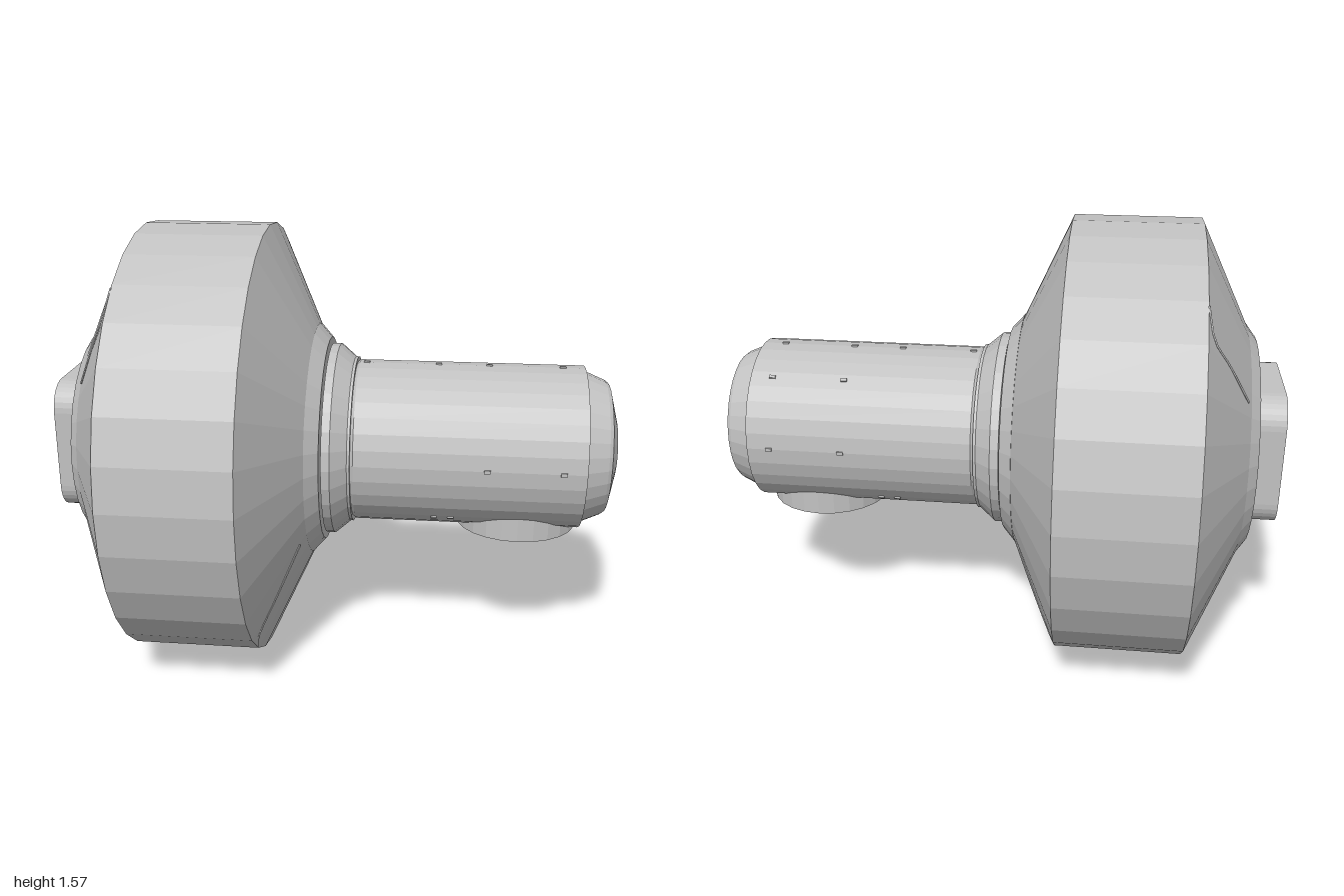
import * as THREE from 'three';

const AXIS_Y = 0.785;

export function createModel() {
  const model = new THREE.Group();
  model.name = 'stationModule';
  const body = new THREE.Group();
  body.name = 'body';
  body.position.y = AXIS_Y;
  model.add(body);

  const grey = new THREE.MeshStandardMaterial({ color: 0xc2c2c2, flatShading: true, side: THREE.DoubleSide });
  grey.name = 'hullGrey';

  const add = (name, geometry, parent = body) => {
    const mesh = new THREE.Mesh(geometry, grey);
    mesh.name = name;
    parent.add(mesh);
    return mesh;
  };

  // Surface of revolution about the x axis, from [x, radius] pairs
  const turned = (name, profile) => {
    const g = new THREE.LatheGeometry(profile.map(([x, r]) => new THREE.Vector2(r, x)), 32);
    g.rotateZ(-Math.PI / 2);
    return add(name, g);
  };

  // Rounded square outline in the cross-section plane
  const roundedSquare = (half, r, Type = THREE.Shape) => {
    const s = new Type(), k = half - r;
    s.absarc(k, k, r, 0, Math.PI / 2);
    s.absarc(-k, k, r, Math.PI / 2, Math.PI);
    s.absarc(-k, -k, r, Math.PI, Math.PI * 1.5);
    s.absarc(k, -k, r, Math.PI * 1.5, Math.PI * 2);
    s.closePath();
    return s;
  };

  // Square tube running along x
  const squareTube = (name, x0, x1, outer, inner, r) => {
    const s = roundedSquare(outer, r);
    s.holes.push(roundedSquare(inner, r - (outer - inner) * 0.5, THREE.Path));
    const g = new THREE.ExtrudeGeometry(s, { depth: x1 - x0, bevelEnabled: false, curveSegments: 4 });
    g.rotateY(Math.PI / 2);
    g.translate(x0, 0, 0);
    return add(name, g);
  };

  // Large drum with its two cones
  turned('drum', [[-0.87, 0.41], [-0.69, 0.785], [-0.245, 0.785], [-0.075, 0.41]]);

  // Flanges on both cone tips
  turned('rearFlange', [[-0.862, 0.40], [-0.862, 0.425], [-0.9, 0.375]]);
  turned('frontFlange', [[-0.082, 0.40], [-0.08, 0.425], [-0.035, 0.375], [-0.035, 0.28]]);

  // Tapered collar between drum and laboratory
  turned('collar', [[-0.035, 0.29], [-0.03, 0.352], [0.0, 0.352], [0.055, 0.305], [0.065, 0.305], [0.065, 0.28]]);

  // Long cylinder and its domed end
  turned('cylinder', [[0.06, 0.285], [0.075, 0.295], [0.88, 0.295], [0.88, 0.27]]);
  turned('endCap', [[0.88, 0.277], [0.955, 0.245], [0.968, 0.235], [1.0, 0.115], [1.0, 0]]);

  // Rear face around the square hatchway
  const face = new THREE.Shape().absarc(0, 0, 0.375, 0, Math.PI * 2);
  face.holes.push(roundedSquare(0.19, 0.06, THREE.Path));
  const faceGeo = new THREE.ShapeGeometry(face, 16);
  faceGeo.rotateY(-Math.PI / 2);
  faceGeo.translate(-0.9, 0, 0);
  add('rearFace', faceGeo);

  // Hatch tunnel, inner frames and end wall
  squareTube('hatchFrame', -1, -0.9, 0.24, 0.23, 0.1);
  squareTube('corridor', -0.9, -0.2, 0.2, 0.19, 0.06);
  [-0.8, -0.55, -0.3].forEach((x) => squareTube('corridorFrame', x, x + 0.03, 0.192, 0.165, 0.06));
  const wall = add('corridorEnd', new THREE.BoxGeometry(0.02, 0.39, 0.39));
  wall.position.x = -0.2;
  for (const s of [-1, 1]) {
    const rack = add('corridorRack', new THREE.BoxGeometry(0.2, 0.26, 0.03));
    rack.position.set(-0.66, 0, s * 0.17);
  }

  // Oval fairing below the cylinder, with a small handle
  const fairing = add('bellyFairing', new THREE.CylinderGeometry(1, 1, 0.16, 24));
  fairing.scale.set(0.22, 1, 0.208);
  fairing.position.set(0.66, -0.218, 0);
  const handle = add('bellyHandle', new THREE.TorusGeometry(0.035, 0.004, 4, 10, Math.PI));
  handle.rotation.set(Math.PI, Math.PI / 2, 0);
  handle.scale.y = 0.7;
  handle.position.set(0.71, -0.297, 0);

  // Thin panel seams: upper pair on the rear cone, lower pair on the front cone
  const seam = (side, up, s) => {
    const at = (x, r, a) => new THREE.Vector3(x, up * r * Math.cos(a), s * r * Math.sin(a));
    const pts = side < 0
      ? [at(-0.85, 0.455, 0.88), at(-0.77, 0.62, 0.77), at(-0.71, 0.742, 0.73), at(-0.69, 0.783, 0.61)]
      : [at(-0.098, 0.466, 0.97), at(-0.17, 0.62, 0.81), at(-0.232, 0.752, 0.72), at(-0.247, 0.782, 0.61)];
    const path = new THREE.CatmullRomCurve3(pts);
    add('panelSeam', new THREE.TubeGeometry(path, 10, 0.004, 4));
  };
  for (const s of [-1, 1]) {
    seam(-1, 1, s);
    seam(1, -1, s);
  }

  // Small handrail tabs around the cylinder
  const tabs = [
    [0, [0.1, 0.36, 0.54, 0.8]],
    [Math.PI / 2, [0.54, 0.8]],
    [-Math.PI / 2, [0.54, 0.8]],
    [-0.66, [0.54, 0.8]],
    [Math.PI * 0.76, [0.36, 0.42]],
    [-Math.PI * 0.76, [0.36, 0.42]],
    [Math.PI, [0.1, 0.25, 0.36]],
  ];
  for (const [angle, xs] of tabs) {
    const row = new THREE.Group();
    row.name = 'handrailRow';
    row.rotation.x = angle;
    body.add(row);
    for (const x of xs) {
      add('handrailTab', new THREE.BoxGeometry(0.022, 0.01, 0.012), row).position.set(x, 0.295, 0);
    }
  }

  return model;
}
